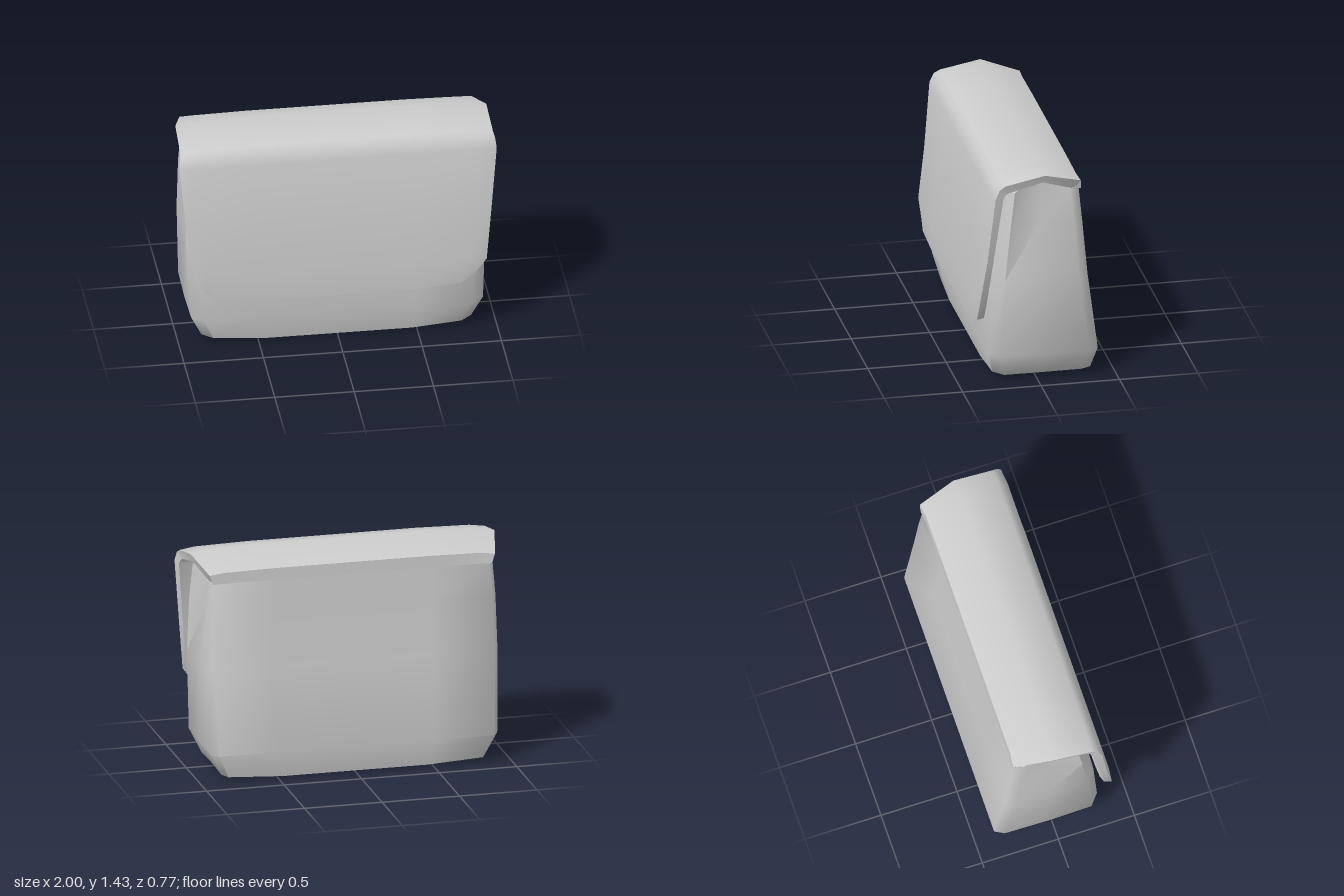
import * as THREE from 'three';
import { toCreasedNormals } from 'three/addons/utils/BufferGeometryUtils.js';

// Skin a list of closed rings (equal point counts); each end is closed by
// strips joining point j to its partner N-1-j.
function loft(rings, crease) {
  const N = rings[0].length, last = (rings.length - 1) * N, index = [];
  for (let i = 0; i < rings.length - 1; i++) {
    for (let j = 0; j < N; j++) {
      const k = (j + 1) % N;
      const a = i * N + j, b = i * N + k, c = b + N, d = a + N;
      index.push(a, b, c, a, c, d);
    }
  }
  for (let j = 0; j < N / 2 - 1; j++) {
    const p = N - 1 - j, q = p - 1;
    index.push(j, q, j + 1, j, p, q);
    index.push(last + j, last + j + 1, last + q, last + j, last + q, last + p);
  }
  const geo = new THREE.BufferGeometry();
  geo.setAttribute('position', new THREE.Float32BufferAttribute(rings.flat(2), 3));
  geo.setIndex(index);
  return toCreasedNormals(geo, crease);
}

// Horizontal body section: front z, back z, half width, gusset half width
// and the height of the gusset's middle.
function bodyRing({ y, front, back, w, mid, midY = y, edgeY = y }) {
  const half = [
    [w * 0.55, y, front],
    [w * 0.92, edgeY, front - 0.01],
    [w, edgeY, front - 0.07],
    [mid, midY, (front + back) / 2],
    [w, edgeY, back + 0.06],
    [w * 0.965, edgeY, back],
    [w * 0.55, y, back],
  ];
  return [...half, ...half.map(([x, h, z]) => [-x, h, z]).reverse()];
}

// Flap section: outer skin from left to right, inner skin back again.
function flapRing({ out, inn, w, lift = 0, sag = 0 }) {
  const columns = [1, 0.9, 0.55, 0, -0.55, -0.9, -1];
  const drop = (c) => (Math.abs(c) === 1 ? 1 : Math.abs(c) > 0.8 ? 0.4 : 0);
  const outer = columns.map((c) => [
    c * w, out[1] + drop(c) * (lift - sag), out[0] - (drop(c) === 1 ? 0.01 : 0)]);
  const inner = columns.map((c) => [c * w * 0.985, inn[1] + drop(c) * (lift - sag), inn[0]]);
  return [...outer, ...inner.reverse()];
}

export function createModel() {
  const group = new THREE.Group();
  const material = new THREE.MeshStandardMaterial({ color: 0xcccccc, side: THREE.DoubleSide });
  const add = (name, geo) => {
    const mesh = new THREE.Mesh(geo, material);
    mesh.name = name;
    group.add(mesh);
  };

  // Soft tapered body with folded-in gussets near the top
  add('body', loft([
    { y: 0.0, front: 0.13, back: -0.2, w: 0.55, mid: 0.55 },
    { y: 0.01, front: 0.275, back: -0.35, w: 0.85, mid: 0.84, edgeY: 0.03, midY: 0.025 },
    { y: 0.18, front: 0.315, back: -0.385, w: 0.92, mid: 0.925 },
    { y: 0.7, front: 0.285, back: -0.315, w: 0.94, mid: 0.92 },
    { y: 1.05, front: 0.25, back: -0.283, w: 0.935, mid: 0.88 },
    { y: 1.28, front: 0.22, back: -0.262, w: 0.92, mid: 0.84, midY: 1.355 },
  ].map(bodyRing), 1.1));

  // Thick flap folding from the back, over the top and down the front
  add('flap', loft([
    { out: [-0.264, 1.27], inn: [-0.235, 1.27], w: 0.9 },
    { out: [-0.26, 1.345], inn: [-0.222, 1.29], w: 0.92, sag: 0.015 },
    { out: [-0.02, 1.435], inn: [-0.02, 1.385], w: 0.98, sag: 0.03 },
    { out: [0.235, 1.375], inn: [0.205, 1.32], w: 0.985, sag: 0.02 },
    { out: [0.275, 1.34], inn: [0.225, 1.3], w: 0.993, sag: 0.01 },
    { out: [0.3, 1.27], inn: [0.238, 1.26], w: 1.0 },
    { out: [0.342, 0.85], inn: [0.29, 0.85], w: 0.96 },
    { out: [0.387, 0.53], inn: [0.33, 0.53], w: 0.925 },
    { out: [0.384, 0.345], inn: [0.328, 0.352], w: 0.84, lift: 0.065 },
  ].map(flapRing), 0.9));

  return group;
}
